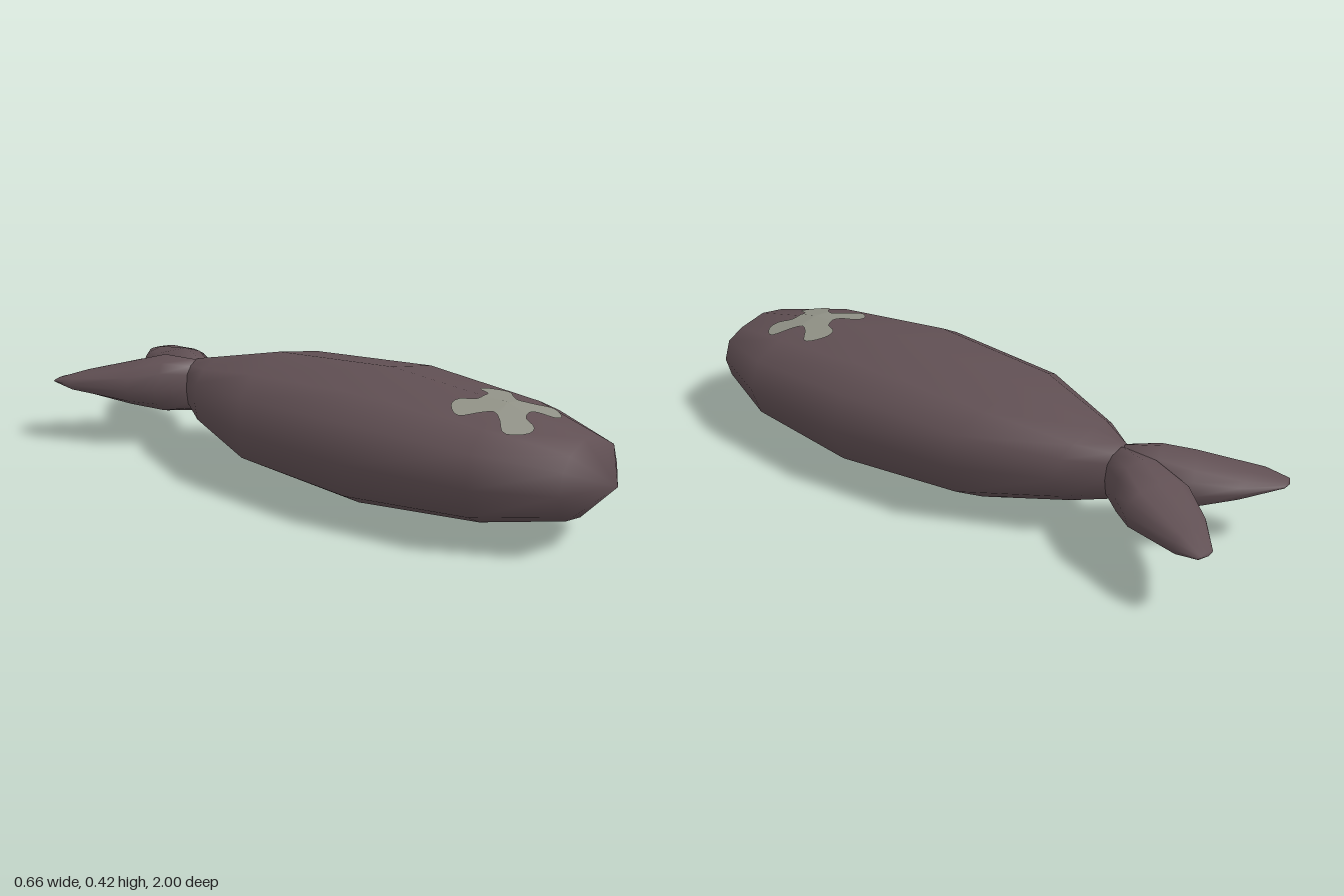
import * as THREE from 'three';

const MID = 0.208; // height of the centre line

// Normalised cross-section: twelve points, clockwise from the top
const QUARTER = [[0, 1], [0.57, 0.82], [0.89, 0.54], [1, 0]];
const SECTION = [
  ...QUARTER,
  ...QUARTER.slice(0, 3).reverse().map(([x, y]) => [x, -y]),
  ...QUARTER.slice(1).map(([x, y]) => [-x, -y]),
  ...QUARTER.slice(1, 3).reverse().map(([x, y]) => [-x, y]),
];

// Smooth skin over a list of rings (front to back), closed by a point at each end
function loft(rings, first, last) {
  const n = rings[0].length;
  const pos = [first, ...rings.flat(), last].flat();
  const end = rings.length * n + 1;
  const index = [];
  for (let i = 0; i < n; i++) {
    const j = (i + 1) % n;
    index.push(0, 1 + j, 1 + i);
    for (let r = 0; r < rings.length - 1; r++) {
      const a = 1 + r * n + i, b = 1 + r * n + j;
      index.push(a, b, a + n, b, b + n, a + n);
    }
    index.push(end - n + i, end - n + j, end);
  }
  const geo = new THREE.BufferGeometry();
  geo.setAttribute('position', new THREE.Float32BufferAttribute(pos, 3));
  geo.setIndex(index);
  geo.computeVertexNormals();
  return geo;
}

function bodyGeometry() {
  // half width, half height, z at the sides, z on the top and bottom
  const stations = [
    [0.17, 0.118, 0.91, 0.89],
    [0.28, 0.172, 0.68, 0.64],
    [0.328, 0.208, 0.28, 0.23],
    [0.292, 0.178, -0.14, -0.21],
    [0.16, 0.115, -0.44, -0.47],
    [0.07, 0.094, -0.56, -0.56],
    [0.03, 0.06, -0.64, -0.64],
  ];
  const rings = stations.map(([w, h, zSide, zTop]) =>
    SECTION.map(([x, y]) => [x * w, MID + y * h, zTop + (zSide - zTop) * x * x]));
  return loft(rings, [0, MID, 1], [0, MID, -0.67]);
}

function tailGeometry(side) {
  // outer edge x, z; inner edge x, z; half height
  const stations = [
    [0.07, -0.56, -0.05, -0.59, 0.09],
    [0.13, -0.63, -0.03, -0.71, 0.1],
    [0.2, -0.71, 0, -0.81, 0.075],
    [0.27, -0.91, 0.09, -0.91, 0.034],
    [0.272, -0.985, 0.21, -0.998, 0.005],
  ];
  const rings = stations.map(([ox, oz, ix, iz, h]) => SECTION.map(([x, y]) => {
    const t = (x * side + 1) / 2;
    return [side * (ix + (ox - ix) * t), MID + y * h, iz + (oz - iz) * t];
  }));
  return loft(rings, [0, MID, -0.55], [side * 0.24, MID, -1]);
}

// Rounded cross-shaped marking draped over the body (up = 1 top, -1 underside)
function patchGeometry(body, up) {
  const quarter = [[0.03, 0.082], [0.055, 0.125], [0.085, 0.132], [0.125, 0.105], [0.14, 0.075], [0.09, 0.03]];
  const flip = (p, sx, sz) => p.map(([x, z]) => new THREE.Vector3(x * sx, 0, z * sz));
  const outline = [
    ...flip(quarter, 1, 1), new THREE.Vector3(0.068, 0, 0), ...flip(quarter, 1, -1).reverse(),
    ...flip(quarter, -1, -1), new THREE.Vector3(-0.068, 0, 0), ...flip(quarter, -1, 1).reverse(),
  ];
  const n = 72, steps = 8;
  const edge = new THREE.CatmullRomCurve3(outline, true).getSpacedPoints(n).slice(0, n);
  const ray = new THREE.Raycaster();
  const drape = (x, z) => {
    ray.set(new THREE.Vector3(x, MID + up, z), new THREE.Vector3(0, -up, 0));
    return [x, ray.intersectObject(body)[0].point.y + up * 0.004, z];
  };
  const pos = [drape(0.0005, 0.6355)];
  const index = [];
  for (let r = 1; r <= steps; r++)
    for (const p of edge) pos.push(drape(p.x * r / steps + 0.0001, 0.635 + p.z * r / steps));
  const tri = (a, b, c) => up > 0 ? index.push(a, b, c) : index.push(a, c, b);
  for (let i = 0; i < n; i++) {
    const j = (i + 1) % n;
    tri(0, 1 + i, 1 + j);
    for (let r = 0; r < steps - 1; r++) {
      const a = 1 + r * n + i, b = 1 + r * n + j;
      tri(a, a + n, b);
      tri(b, a + n, b + n);
    }
  }
  const geo = new THREE.BufferGeometry();
  geo.setAttribute('position', new THREE.Float32BufferAttribute(pos.flat(), 3));
  // orient every face to the outside
  const [a, b, c] = [0, 1, 2].map(k => new THREE.Vector3(...pos[index[k]]));
  if (b.sub(a).cross(c.sub(a)).y * up < 0) index.reverse();
  geo.setIndex(index);
  geo.computeVertexNormals();
  return geo;
}

export function createModel() {
  const skin = new THREE.MeshStandardMaterial({ color: 0x604f53 });
  skin.name = 'dark mauve skin';
  const pale = new THREE.MeshStandardMaterial({ color: 0x909186 });
  pale.name = 'pale grey marking';

  const model = new THREE.Group();
  model.name = 'fish';
  const add = (name, geo, material) => {
    const mesh = new THREE.Mesh(geo, material);
    mesh.name = name;
    model.add(mesh);
    return mesh;
  };

  const body = add('body', bodyGeometry(), skin);
  add('leftTailFin', tailGeometry(1), skin);
  add('rightTailFin', tailGeometry(-1), skin);
  add('topMarking', patchGeometry(body, 1), pale);
  add('bottomMarking', patchGeometry(body, -1), pale);
  return model;
}
